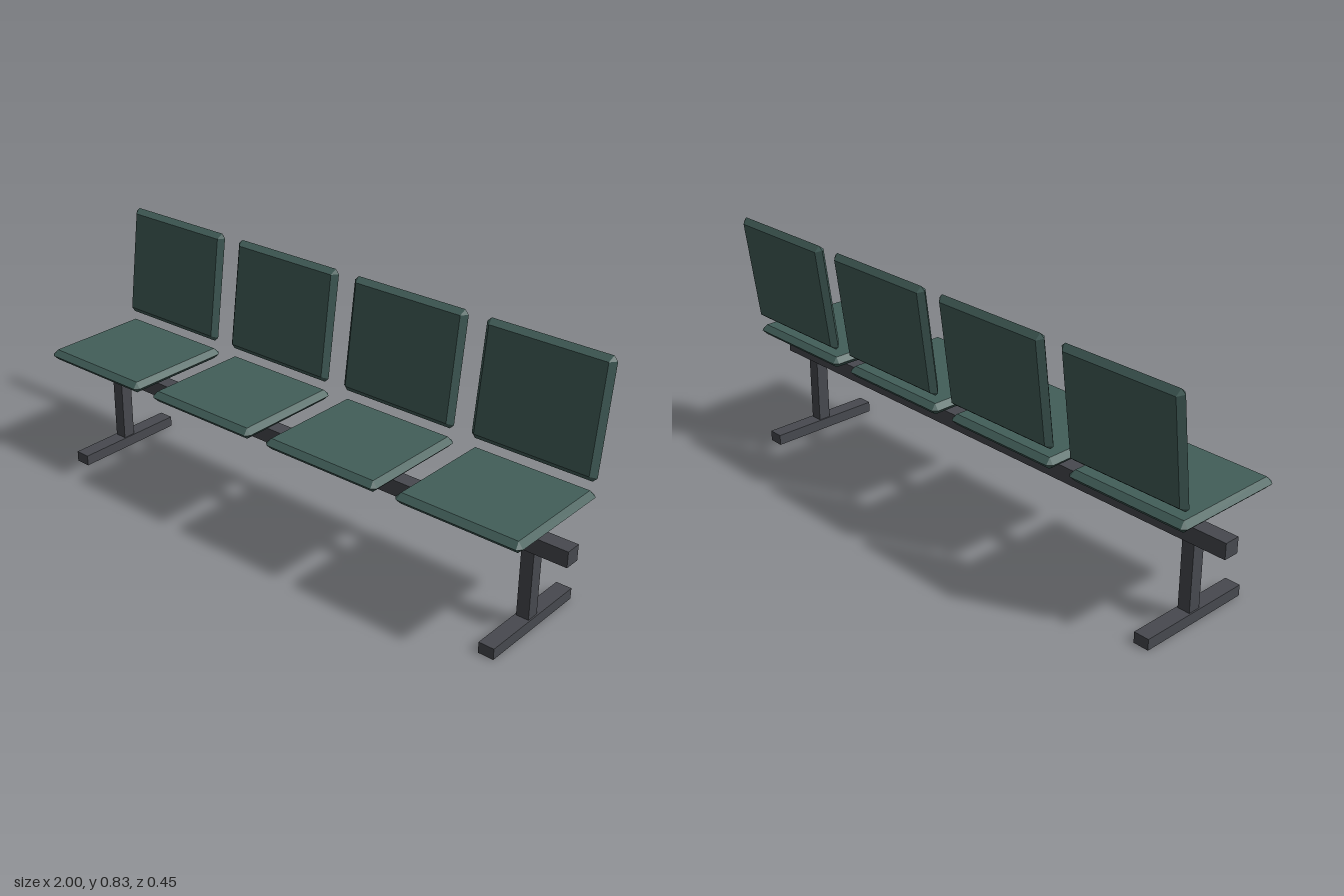
import * as THREE from 'three';
import { ConvexGeometry } from 'three/addons/geometries/ConvexGeometry.js';

// Thin cushion lying flat: bevelled to a knife edge halfway up, with clipped corners
function padGeometry(width, thickness, depth, bevel, clip) {
  const points = [];
  const x = width / 2, y = thickness / 2, z = depth / 2;
  for (const sx of [-1, 1]) {
    for (const sz of [-1, 1]) {
      for (const sy of [-1, 1]) {
        points.push(new THREE.Vector3(sx * (x - bevel), sy * y, sz * (z - bevel)));
      }
      points.push(new THREE.Vector3(sx * x, 0, sz * (z - clip)));
      points.push(new THREE.Vector3(sx * (x - clip), 0, sz * z));
    }
  }
  return new ConvexGeometry(points);
}

export function createModel() {
  const model = new THREE.Group();
  model.name = 'beamSeating';

  const padGreen = new THREE.MeshStandardMaterial({ color: 0x425e59 });
  padGreen.name = 'padGreen';
  const frameGrey = new THREE.MeshStandardMaterial({ color: 0x47494f });
  frameGrey.name = 'frameGrey';

  function add(parent, name, geometry, material, x, y, z) {
    const mesh = new THREE.Mesh(geometry, material);
    mesh.name = name;
    mesh.position.set(x, y, z);
    parent.add(mesh);
    return mesh;
  }

  // Long beam carrying the seats
  add(model, 'beam', new THREE.BoxGeometry(2, 0.053, 0.054), frameGrey, 0, 0.2935, -0.001);

  // T-shaped legs
  const postGeometry = new THREE.BoxGeometry(0.043, 0.23, 0.044);
  const footGeometry = new THREE.BoxGeometry(0.053, 0.037, 0.41);
  for (const side of [-1, 1]) {
    const leg = new THREE.Group();
    leg.name = side > 0 ? 'leftLeg' : 'rightLeg';
    leg.position.set(side * 0.867, 0, -0.001);
    add(leg, 'post', postGeometry, frameGrey, 0, 0.152, 0);
    add(leg, 'foot', footGeometry, frameGrey, 0, 0.0185, 0);
    model.add(leg);
  }

  // Four seats, each a level pad and a reclined back
  const seatGeometry = padGeometry(0.434, 0.037, 0.4, 0.018, 0.014);
  const backGeometry = padGeometry(0.434, 0.036, 0.38, 0.018, 0.014);
  for (let i = 0; i < 4; i++) {
    const place = new THREE.Group();
    place.name = 'place' + (i + 1);
    place.position.x = -0.75 + i * 0.5;
    add(place, 'seat', seatGeometry, padGreen, 0, 0.4015, 0.027);
    const back = add(place, 'backrest', backGeometry, padGreen, 0, 0.6375, -0.182);
    back.rotation.x = Math.PI / 2 - 0.132;
    model.add(place);
  }

  return model;
}
